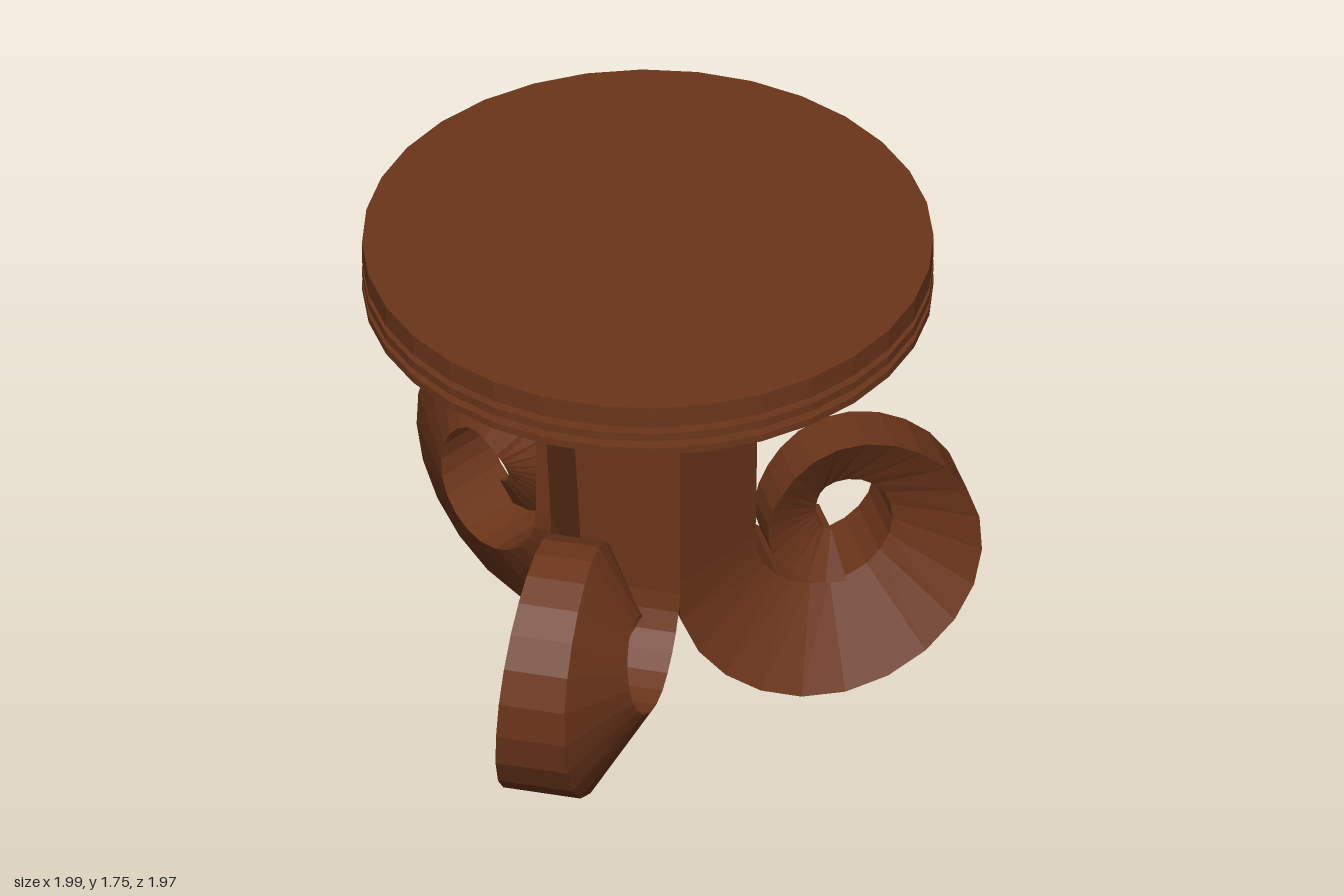
import * as THREE from 'three';

const wood = new THREE.MeshStandardMaterial({ color: 0x6b351a, flatShading: true });

// Scroll leg: [angle in degrees, outer radius, inner radius, width] about the curl centre
const SCROLL = [
  [0, 0.587, 0.262, 0.325], [45, 0.582, 0.26, 0.3], [90, 0.578, 0.26, 0.275],
  [135, 0.532, 0.242, 0.25], [180, 0.467, 0.21, 0.22], [225, 0.395, 0.16, 0.2],
  [270, 0.342, 0.092, 0.185], [315, 0.265, 0.05, 0.172], [360, 0.23, 0.04, 0.16],
  [405, 0.21, 0.045, 0.15], [460, 0.23, 0.075, 0.14],
];
const CENTRE = { x: -0.587, y: 0.58 };
const SKEW = Math.tan(Math.PI / 6); // slant of the leg's parallelogram section
const STEPS = 3;

// Catmull-Rom blend between rows of the scroll table
function scrollAt(i, f) {
  const row = (k) => SCROLL[Math.min(Math.max(k, 0), SCROLL.length - 1)];
  const [a, b, c, d] = [row(i - 1), row(i), row(i + 1), row(i + 2)];
  return b.map((v, k) => (k === 0
    ? v + (c[0] - v) * f
    : 0.5 * (2 * v + (c[k] - a[k]) * f + (2 * a[k] - 5 * v + 4 * c[k] - d[k]) * f * f
      + (3 * v - a[k] - 3 * c[k] + d[k]) * f * f * f)));
}

// Four corners: outer edge pair, then inner edge pair
function section(outer, inner, width, drift) {
  const skew = Math.hypot(outer[0] - inner[0], outer[1] - inner[1]) * SKEW;
  return [
    [...outer, drift], [...outer, drift - width],
    [...inner, drift + skew - width], [...inner, drift + skew],
  ];
}

function legGeometry() {
  // Straight stem part: one third of a hexagonal column
  const rows = [section([0, 1.57], [-0.325, 1.57], 0.375, 0)];
  // Curl
  const last = (SCROLL.length - 1) * STEPS;
  for (let n = 0; n <= last; n++) {
    const i = Math.min(Math.floor(n / STEPS), SCROLL.length - 2);
    const [deg, ro, ri, width] = scrollAt(i, n / STEPS - i);
    const t = THREE.MathUtils.degToRad(deg);
    const point = (r) => [CENTRE.x + r * Math.cos(t), CENTRE.y - r * Math.sin(t)];
    rows.push(section(point(ro), point(ri), width, -0.02 * Math.min(deg / 180, 1)));
  }
  const index = [0, 1, 2, 0, 2, 3];
  for (let j = 0; j < rows.length - 1; j++) {
    for (let k = 0; k < 4; k++) {
      const a = j * 4 + k, b = j * 4 + ((k + 1) % 4);
      index.push(a, a + 4, b + 4, a, b + 4, b);
    }
  }
  const e = (rows.length - 1) * 4;
  index.push(e, e + 2, e + 1, e, e + 3, e + 2);

  const indexed = new THREE.BufferGeometry();
  indexed.setAttribute('position', new THREE.Float32BufferAttribute(rows.flat(2), 3));
  indexed.setIndex(index);
  const geometry = indexed.toNonIndexed();
  geometry.computeVertexNormals();
  return geometry;
}

function disc(name, radius, bottom, top) {
  const mesh = new THREE.Mesh(new THREE.CylinderGeometry(radius, radius, top - bottom, 32), wood);
  mesh.position.y = (bottom + top) / 2;
  mesh.name = name;
  return mesh;
}

export function createModel() {
  const model = new THREE.Group();
  model.name = 'pedestalTable';

  const table = new THREE.Group();
  table.name = 'table';
  table.position.set(0.067, 0, -0.058);
  model.add(table);

  // Round top with grooved rim
  const top = new THREE.Group();
  top.name = 'tableTop';
  top.add(
    disc('topSlab', 0.93, 1.673, 1.75),
    disc('rimCore', 0.837, 1.57, 1.69),
    disc('middleRing', 0.93, 1.616, 1.646),
    disc('bottomRing', 0.93, 1.561, 1.588),
  );
  table.add(top);

  // Three scroll legs that join into a hexagonal stem
  const geometry = legGeometry();
  for (let i = 0; i < 3; i++) {
    const leg = new THREE.Mesh(geometry, wood);
    leg.name = `scrollLeg${i + 1}`;
    leg.rotation.y = (i * Math.PI * 2) / 3;
    table.add(leg);
  }
  return model;
}
